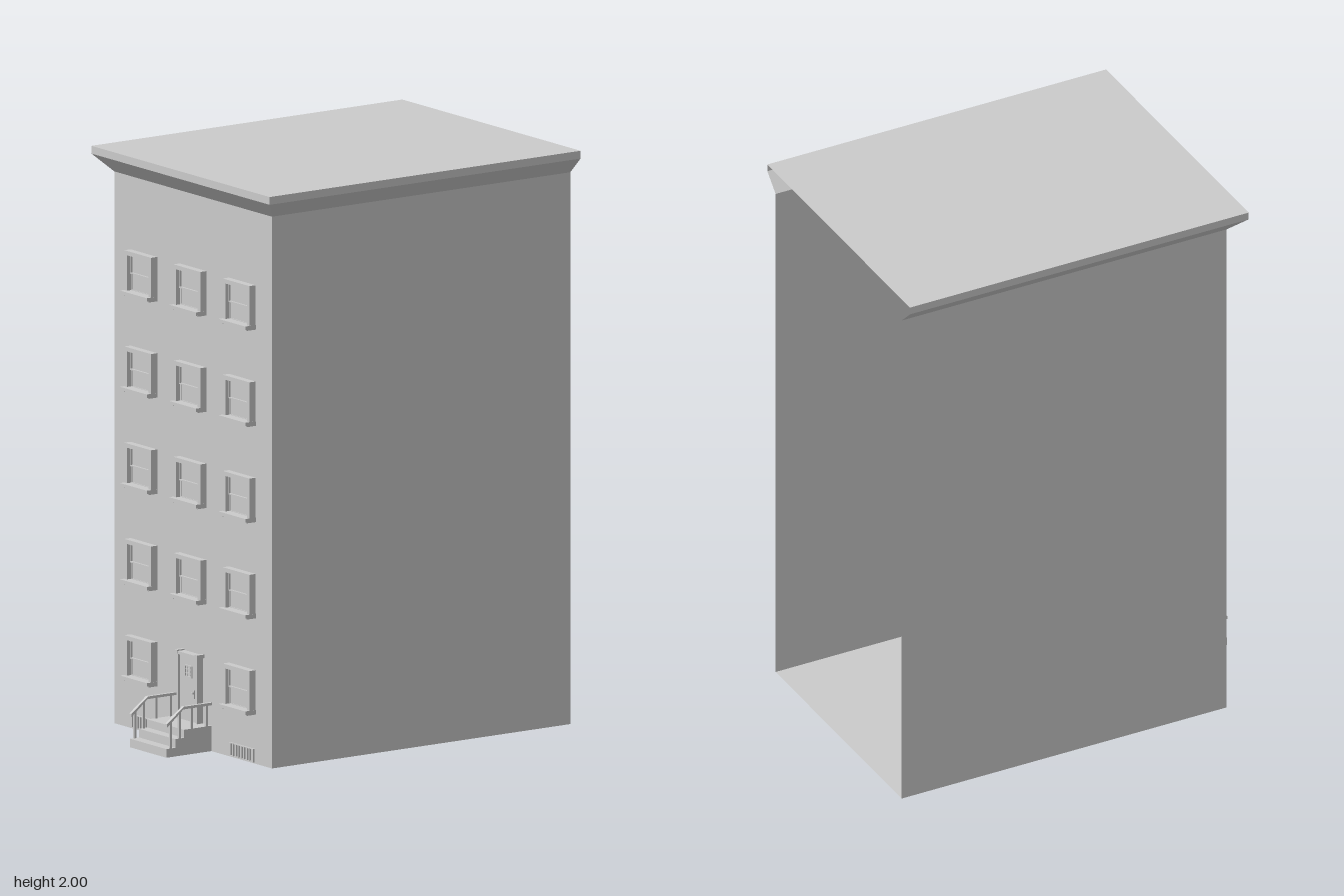
import * as THREE from 'three';

const mat = new THREE.MeshStandardMaterial({ color: 0xcccccc, flatShading: true, side: THREE.DoubleSide });

// Main dimensions
const HALF_W = 0.458, FRONT = 0.53, BACK = -0.718;
const EAVE_Y = 1.915, OVERHANG = 0.06;

function add(parent, name, geometry, x = 0, y = 0, z = 0) {
  const mesh = new THREE.Mesh(geometry, mat);
  mesh.name = name;
  mesh.position.set(x, y, z);
  parent.add(mesh);
  return mesh;
}

// Box given by its extents on each axis
function block(parent, name, x0, x1, y0, y1, z0, z1) {
  return add(parent, name, new THREE.BoxGeometry(x1 - x0, y1 - y0, z1 - z0),
    (x0 + x1) / 2, (y0 + y1) / 2, (z0 + z1) / 2);
}

// Rectangular ring standing on y = 0, extruded forward from z = 0
function ring(w, h, t, depth) {
  const shape = new THREE.Shape([[-w / 2, 0], [w / 2, 0], [w / 2, h], [-w / 2, h]]
    .map(p => new THREE.Vector2(...p)));
  shape.holes.push(new THREE.Path([[t - w / 2, t], [t - w / 2, h - t], [w / 2 - t, h - t], [w / 2 - t, t]]
    .map(p => new THREE.Vector2(...p))));
  return new THREE.ExtrudeGeometry(shape, { depth, bevelEnabled: false });
}

// Sweeps a profile of [outward offset, height] around left side, front and right side (back stays open)
function threeSided(profile) {
  const pos = [], index = [];
  for (const [o, y] of profile) {
    const w = HALF_W + o, f = FRONT + o * 0.88;
    pos.push(-w, y, BACK, -w, y, f, w, y, f, w, y, BACK);
  }
  for (let r = 0; r < profile.length - 1; r++) {
    for (let c = 0; c < 3; c++) {
      const a = r * 4 + c;
      index.push(a, a + 1, a + 5, a, a + 5, a + 4);
    }
  }
  const g = new THREE.BufferGeometry();
  g.setAttribute('position', new THREE.Float32BufferAttribute(pos, 3));
  g.setIndex(index);
  const flat = g.toNonIndexed();
  flat.computeVertexNormals();
  return flat;
}

function horizontal(w, z0, z1) {
  return new THREE.PlaneGeometry(w, z1 - z0).rotateX(-Math.PI / 2).translate(0, 0, (z0 + z1) / 2);
}

// Sash window with frame, two staggered sashes and a sill on brackets
function createWindow() {
  const g = new THREE.Group();
  g.name = 'window';
  add(g, 'windowFrame', ring(0.155, 0.154, 0.015, 0.026));
  block(g, 'glass', -0.065, 0.065, 0.012, 0.142, 0, 0.006);
  add(g, 'upperSash', ring(0.127, 0.066, 0.004, 0.014), 0, 0.074, 0);
  add(g, 'lowerSash', ring(0.127, 0.064, 0.004, 0.009), 0, 0.014, 0);
  block(g, 'sill', -0.078, 0.078, 0.004, 0.016, 0, 0.044);
  for (const s of [-1, 1]) {
    add(g, 'sillBracket', new THREE.BoxGeometry(0.014, 0.014, 0.038), s * 0.071, 0.007, 0.019);
  }
  return g;
}

function createDoor() {
  const g = new THREE.Group();
  g.name = 'door';
  block(g, 'doorPanel', -0.052, 0.052, 0.088, 0.316, FRONT, 0.547);
  for (const s of [-1, 1]) {
    add(g, 'doorJamb', new THREE.BoxGeometry(0.007, 0.232, 0.026), s * 0.055, 0.204, FRONT + 0.013);
    add(g, 'lintelEnd', new THREE.BoxGeometry(0.014, 0.012, 0.03), s * 0.058, 0.322, FRONT + 0.015);
  }
  block(g, 'lintel', -0.06, 0.06, 0.314, 0.324, FRONT, 0.558);
  // Small barred light in the upper part of the door
  add(g, 'doorLight', ring(0.042, 0.042, 0.004, 0.004), 0, 0.24, 0.547);
  for (const o of [-0.007, 0.007]) {
    block(g, 'lightBar', o - 0.0015, o + 0.0015, 0.242, 0.28, 0.547, 0.55);
    block(g, 'lightBar', -0.019, 0.019, 0.2595 + o, 0.2625 + o, 0.547, 0.55);
  }
  block(g, 'handlePlate', 0.028, 0.034, 0.17, 0.2, 0.547, 0.551);
  block(g, 'handle', 0.026, 0.036, 0.188, 0.194, 0.551, 0.559);
  return g;
}

// Hollow stoop: risers, treads and side panels, open underneath
function createStoop() {
  const g = new THREE.Group();
  g.name = 'stoop';
  const w = 0.106;
  const steps = [[0.718, 0.03], [0.681, 0.06], [0.645, 0.088]];
  const outline = [[FRONT, 0]];
  steps.forEach(([z, y], i) => {
    const y0 = i ? steps[i - 1][1] : 0;
    const z1 = i < 2 ? steps[i + 1][0] : FRONT;
    add(g, 'riser', new THREE.PlaneGeometry(2 * w, y - y0), 0, (y + y0) / 2, z);
    add(g, 'tread', horizontal(2 * w, z1, z), 0, y, 0);
    outline.push([z, y0], [z, y]);
  });
  outline.push([FRONT, 0.088]);
  const side = new THREE.Shape(outline.map(([z, y]) => new THREE.Vector2(z, y)));
  for (const s of [-1, 1]) {
    add(g, 'stairSide', new THREE.ShapeGeometry(side).rotateY(-Math.PI / 2), s * w, 0, 0);

    // Handrail: sloped run, then level to the wall
    const rail = new THREE.Shape([[0.718, 0.105], [0.718, 0.117], [0.648, 0.169], [FRONT, 0.169],
      [FRONT, 0.16], [0.65, 0.16]].map(p => new THREE.Vector2(...p)));
    const railGeo = new THREE.ExtrudeGeometry(rail, { depth: 0.012, bevelEnabled: false })
      .translate(0, 0, -0.006).rotateY(-Math.PI / 2);
    add(g, 'handrail', railGeo, s * 0.104, 0, 0);
    for (const [z, y0, y1] of [[0.7, 0.03, 0.125], [0.663, 0.06, 0.153], [0.612, 0.088, 0.162], [0.55, 0.088, 0.162]]) {
      block(g, 'railPost', s * 0.104 - 0.004, s * 0.104 + 0.004, y0, y1, z - 0.004, z + 0.004);
    }
  }
  return g;
}

// Basement grille with upright bars
function createGrille() {
  const g = new THREE.Group();
  g.name = 'basementGrille';
  add(g, 'grilleFrame', ring(0.142, 0.047, 0.003, 0.006));
  for (let i = 0; i < 9; i++) {
    add(g, 'grilleBar', new THREE.BoxGeometry(0.007, 0.044, 0.007), -0.064 + i * 0.016, 0.0235, 0.0035);
  }
  return g;
}

export function createModel() {
  const model = new THREE.Group();
  model.name = 'apartmentBuilding';

  // Open-backed shell
  add(model, 'walls', threeSided([[0, 0], [0, EAVE_Y]]));
  add(model, 'cornice', threeSided([[0, EAVE_Y], [OVERHANG, 1.973], [OVERHANG, 2]]));
  add(model, 'roof', horizontal(2 * (HALF_W + OVERHANG), BACK, FRONT + OVERHANG * 0.88), 0, 2, 0);
  add(model, 'floor', horizontal(2 * HALF_W, BACK, FRONT), 0, 0, 0);

  // Five storeys of windows, the door taking the middle bay of the lowest
  const firstWindow = createWindow();
  for (let row = 0; row < 5; row++) {
    for (const col of [-1, 0, 1]) {
      if (row === 0 && col === 0) continue;
      const win = firstWindow.clone();
      win.position.set(col * 0.286, 0.171 + row * 0.334, FRONT);
      model.add(win);
    }
  }

  model.add(createDoor(), createStoop());
  for (const s of [-1, 1]) {
    const grille = createGrille();
    grille.position.set(s * 0.286, 0.004, FRONT);
    model.add(grille);
  }
  return model;
}
